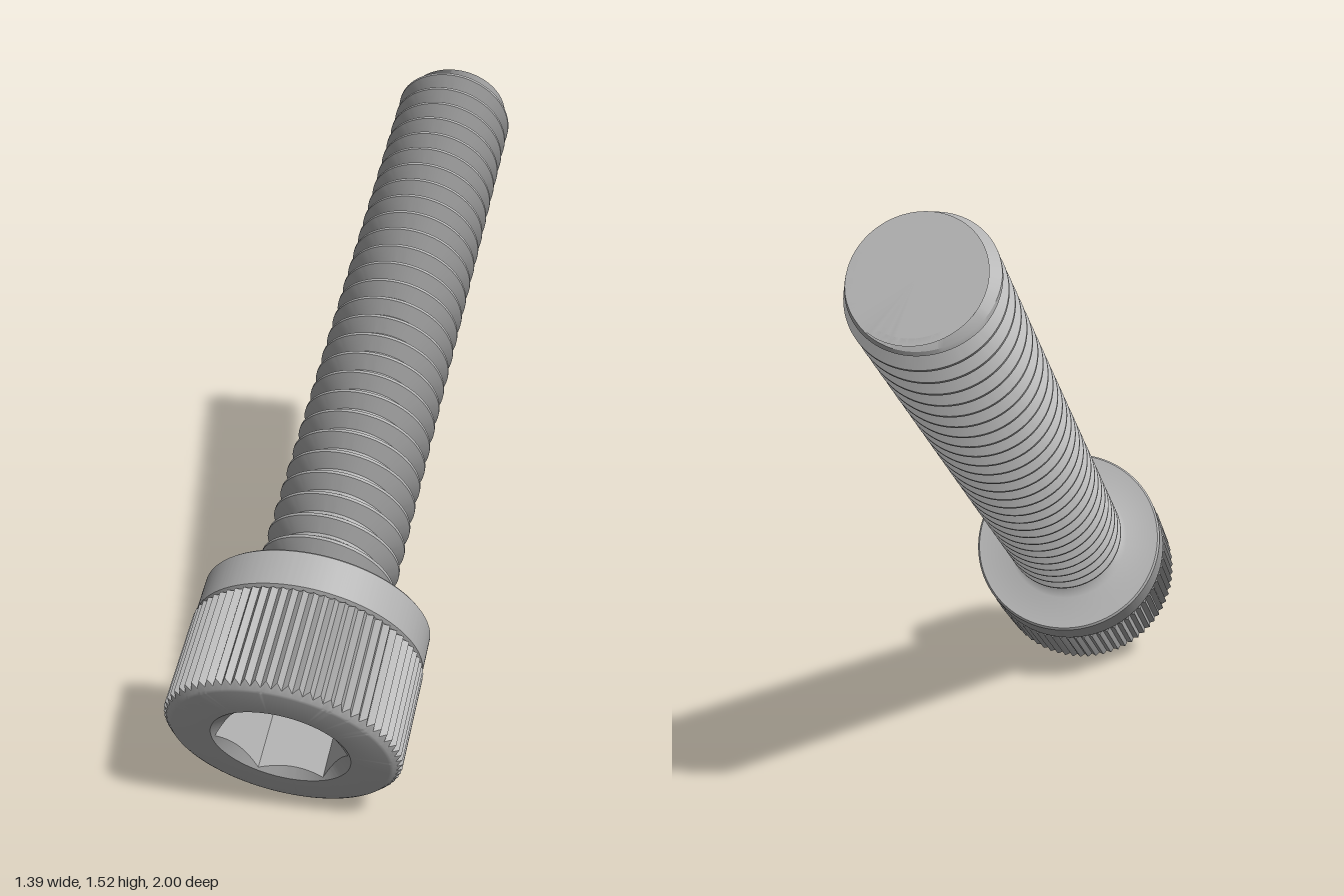
import * as THREE from 'three';
import { toCreasedNormals } from 'three/addons/utils/BufferGeometryUtils.js';

const LENGTH = 2.28, HEAD = 0.38;              // whole screw and head, along the axis
const HEAD_R = 0.298, THREAD_R = 0.18, ROOT_R = 0.14, PITCH = 0.067;

// Surface through rows of points around the y axis; each row maps an angle to [radius, y]
function loft(rows, segments, crease) {
  const positions = [], index = [], stride = segments + 1;
  for (const row of rows) {
    for (let j = 0; j <= segments; j++) {
      const a = (j / segments) * Math.PI * 2;
      const [r, y] = row(a);
      positions.push(r * Math.cos(a), y, r * Math.sin(a));
    }
  }
  for (let i = 0; i < rows.length - 1; i++) {
    for (let j = 0; j < segments; j++) {
      const a = i * stride + j, b = a + 1, c = a + stride, d = c + 1;
      index.push(a, c, b, b, c, d);
    }
  }
  const geometry = new THREE.BufferGeometry();
  geometry.setAttribute('position', new THREE.Float32BufferAttribute(positions, 3));
  geometry.setIndex(index);
  return toCreasedNormals(geometry, crease);
}

const ring = (r, y) => () => [r, y];

// Hexagon radius at an angle, corners at multiples of 60 degrees
function hexRadius(a) {
  const sector = Math.PI / 3;
  const t = ((a + 1e-9) % sector) - sector / 2;
  return (0.168 * Math.cos(sector / 2)) / Math.cos(t);
}

// V-shaped grip ridges
function knurlRadius(a) {
  const t = ((a / (Math.PI * 2)) * 72) % 1;
  return HEAD_R - 0.013 * Math.abs(2 * t - 1);
}

function headGeometry() {
  const rows = [
    // hex socket with a countersunk mouth
    ring(0, 0.18),
    a => [hexRadius(a), 0.18],
    a => [hexRadius(a), (0.175 - hexRadius(a)) * 0.7],
    ring(0.175, 0),
    // front face and bevelled, knurled side
    ring(0.27, 0),
    ring(0.278, 0.003),
    a => [knurlRadius(a), 0.003 + (knurlRadius(a) - 0.278) * 0.9],
    a => [knurlRadius(a), 0.27],
    // plain collar and underside
    ring(0.284, 0.274),
    ring(0.294, 0.28),
    ring(0.294, HEAD - 0.006),
    ring(0.288, HEAD),
    ring(0.19, HEAD),
    // fillet under the head
    ring(0.172, HEAD + 0.005),
    ring(0.158, HEAD + 0.016),
    ring(ROOT_R, HEAD + 0.035),
  ];
  return loft(rows, 288, 0.5);
}

function threadGeometry() {
  // one turn of the profile: [fraction of pitch, radius]
  const profile = [
    [0, ROOT_R], [0.12, ROOT_R],
    [0.5, THREAD_R], [0.62, THREAD_R],
  ];
  const start = HEAD - 0.01;
  const turns = Math.ceil((LENGTH - start) / PITCH) + 1;
  const rows = [];
  for (let k = -1; k < turns; k++) {
    for (const [u, radius] of profile) {
      rows.push(a => {
        const raw = start + PITCH * (k + u + a / (Math.PI * 2));
        const y = THREE.MathUtils.clamp(raw, start, LENGTH);
        const tip = 0.158 + (LENGTH - y) * 0.8;          // bevelled tip
        const runout = ROOT_R + Math.max(0, y - HEAD - 0.01); // thread fades in at the head
        return [Math.min(radius, tip, runout), y];
      });
    }
  }
  rows.push(ring(0.158, LENGTH), ring(0, LENGTH));
  return loft(rows, 96, 0.45);
}

export function createModel() {
  const steel = new THREE.MeshStandardMaterial({ color: 0xb0b0b0 });
  steel.name = 'grey steel';

  const screw = new THREE.Group();
  screw.name = 'socketHeadScrew';
  const parts = { knurledHead: headGeometry(), threadedShank: threadGeometry() };
  for (const [name, geometry] of Object.entries(parts)) {
    const mesh = new THREE.Mesh(geometry, steel);
    mesh.name = name;
    screw.add(mesh);
  }

  // lean the axis: 30 degrees up and 30 degrees sideways, head towards the front
  const c = Math.cos(Math.PI / 6);
  const side = new THREE.Vector3(c, 0, 0.5);
  const axis = new THREE.Vector3(c * 0.5, 0.5, -c * c);
  const up = new THREE.Vector3().crossVectors(side, axis);
  screw.quaternion.setFromRotationMatrix(new THREE.Matrix4().makeBasis(side, axis, up));
  screw.position.set(-0.438, 0.252, 0.812);

  const model = new THREE.Group();
  model.name = 'model';
  model.add(screw);
  return model;
}
